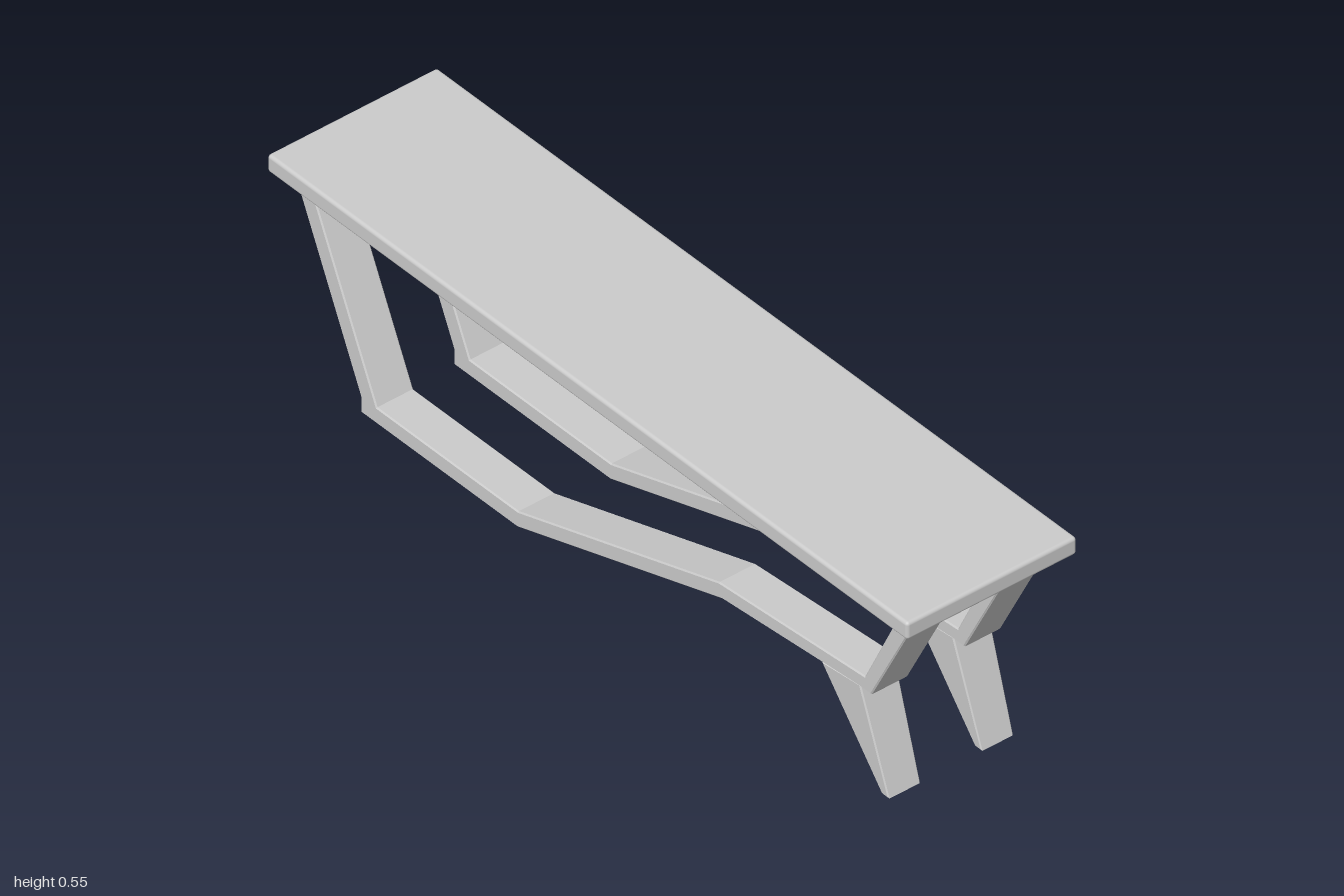
import * as THREE from 'three';
import { RoundedBoxGeometry } from 'three/addons/geometries/RoundedBoxGeometry.js';

const material = new THREE.MeshStandardMaterial({ color: 0xcccccc });
const LEG_Z = 0.1215, LEG_WIDTH = 0.097, BEVEL = 0.003;

// Side outline of the bent runner: outer edge, then back along the inner edge
const FRAME = [
  [-0.987, 0.512], [-0.77, 0.046], [-0.77, 0.006], [-0.28, 0.006], [0.36, 0.205],
  [0.79, 0.24], [0.825, 0.24], [0.967, 0.512],
  [0.922, 0.512], [0.805, 0.275], [0.35, 0.242], [-0.278, 0.047], [-0.72, 0.047], [-0.938, 0.512],
];
const SPUR = [[0.67, 0.232], [0.85, 0], [0.872, 0], [0.79, 0.245]];

function addMesh(parent, name, geometry) {
  const mesh = new THREE.Mesh(geometry, material);
  mesh.name = name;
  parent.add(mesh);
  return mesh;
}

// Bevelled slab cut from a side outline, centred on z = 0
function slab(points) {
  const shape = new THREE.Shape(points.map(([x, y]) => new THREE.Vector2(x, y)));
  const geometry = new THREE.ExtrudeGeometry(shape, {
    depth: LEG_WIDTH - 2 * BEVEL, bevelThickness: BEVEL, bevelSize: BEVEL,
    bevelOffset: -BEVEL, bevelSegments: 1,
  });
  return geometry.translate(0, 0, BEVEL - LEG_WIDTH / 2);
}

// Spur foot, narrowing slightly towards the floor
function spurGeometry() {
  const geometry = slab(SPUR);
  const p = geometry.attributes.position;
  for (let i = 0; i < p.count; i++) {
    p.setZ(i, p.getZ(i) * (0.86 + 0.14 * Math.min(1, p.getY(i) / 0.24)));
  }
  geometry.computeVertexNormals();
  return geometry;
}

export function createModel() {
  const bench = new THREE.Group();
  bench.name = 'bench';

  // Seat board and the softer panel beneath it
  addMesh(bench, 'seatBoard', new RoundedBoxGeometry(2, 0.044, 0.444, 3, 0.008)).position.y = 0.528;
  addMesh(bench, 'underPanel', new RoundedBoxGeometry(1.746, 0.044, 0.3, 4, 0.014)).position.set(-0.002, 0.499, 0);

  // Matching front and back runners, each with a spur foot
  for (const [name, z] of [['frontRunner', LEG_Z], ['backRunner', -LEG_Z]]) {
    const runner = new THREE.Group();
    runner.name = name;
    runner.position.z = z;
    addMesh(runner, 'bentFrame', slab(FRAME));
    addMesh(runner, 'spurFoot', spurGeometry());
    bench.add(runner);
  }
  return bench;
}
